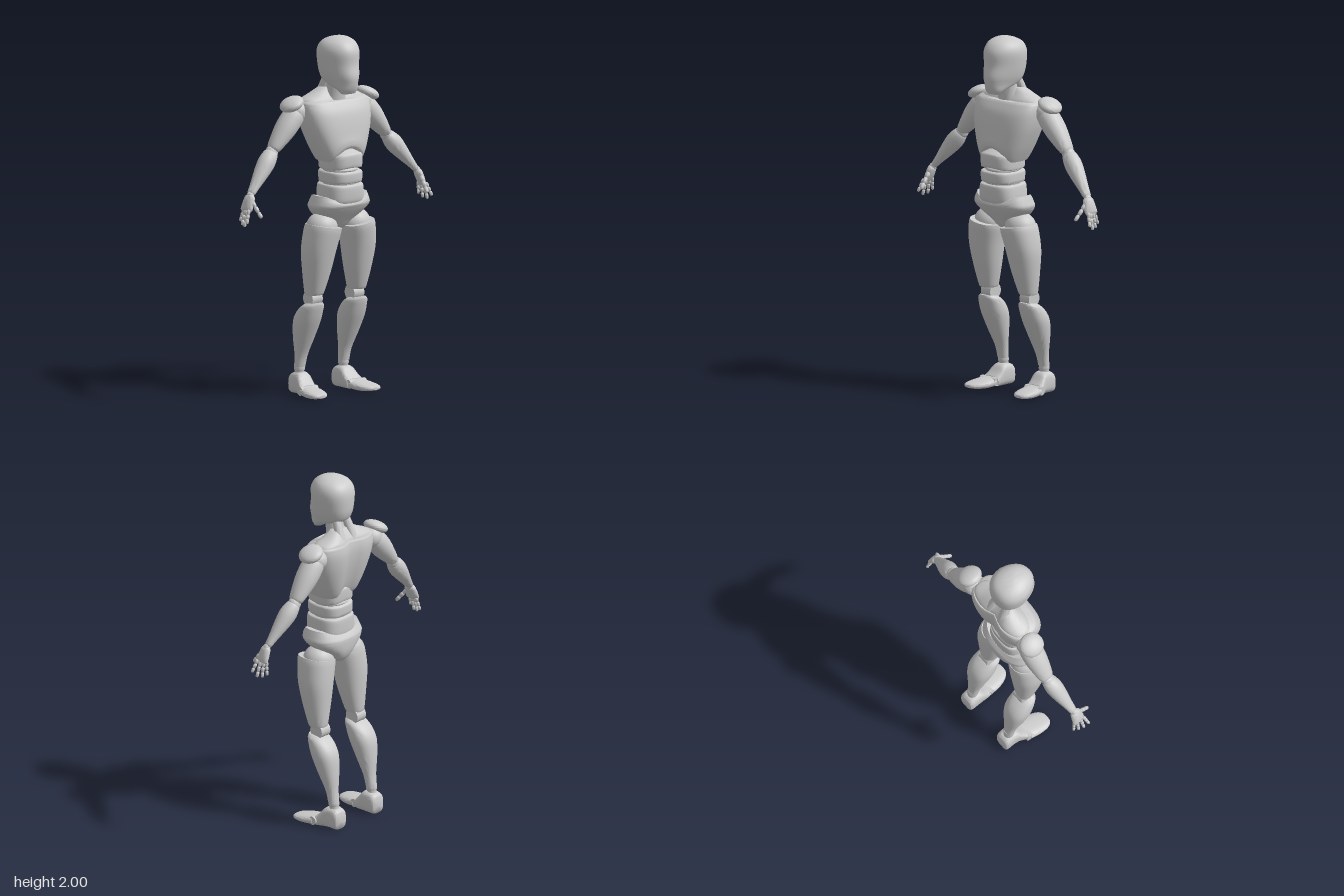
import * as THREE from 'three';
import { toCreasedNormals } from 'three/addons/utils/BufferGeometryUtils.js';

const material = new THREE.MeshStandardMaterial({ color: 0xcccccc });
const V = (x, y, z) => new THREE.Vector3(x, y, z);

// Catmull-Rom blend of one value
function spline(p0, p1, p2, p3, t) {
  return 0.5 * (2 * p1 + (p2 - p0) * t + (2 * p0 - 5 * p1 + 4 * p2 - p3) * t * t
    + (3 * p1 - p0 - 3 * p2 + p3) * t * t * t);
}

// Closed skin over sections [y, xMin, xMax, zMin, zMax]; n is the squareness of the rings
function loft(sections, n = 2.3, warp = null, seg = 32, sub = 4) {
  const s = [...sections].sort((a, b) => a[0] - b[0]);
  const rings = [];
  for (let i = 0; i < s.length - 1; i++) {
    for (let k = 0; k < sub; k++) {
      rings.push(s[i].map((v, c) => spline(s[Math.max(i - 1, 0)][c], v, s[i + 1][c],
        s[Math.min(i + 2, s.length - 1)][c], k / sub)));
    }
  }
  rings.push(s[s.length - 1]);
  const pos = [], index = [];
  const put = (x, y, z) => {
    const v = V(x, y, z);
    if (warp) warp(v);
    pos.push(v.x, v.y, v.z);
  };
  const bend = (c) => Math.sign(c) * Math.pow(Math.abs(c), 2 / n);
  for (const [y, x0, x1, z0, z1] of rings) {
    for (let i = 0; i < seg; i++) {
      const a = (i / seg) * Math.PI * 2;
      put((x0 + x1) / 2 + bend(Math.cos(a)) * (x1 - x0) / 2, y,
        (z0 + z1) / 2 + bend(Math.sin(a)) * (z1 - z0) / 2);
    }
  }
  const last = rings.length - 1, base = rings.length * seg;
  for (const r of [rings[0], rings[last]]) put((r[1] + r[2]) / 2, r[0], (r[3] + r[4]) / 2);
  for (let i = 0; i < seg; i++) {
    const j = (i + 1) % seg;
    for (let r = 0; r < last; r++) {
      const a = r * seg, b = a + seg;
      index.push(a + i, b + i, a + j, b + i, b + j, a + j);
    }
    index.push(base, i, j, base + 1, last * seg + j, last * seg + i);
  }
  const g = new THREE.BufferGeometry();
  g.setAttribute('position', new THREE.Float32BufferAttribute(pos, 3));
  g.setIndex(index);
  return g;
}

// Symmetric section from half width and depth range
const sym = (list) => list.map(([y, w, z0, z1]) => [y, -w, w, z0, z1]);

// Tapered limb from a to b with profile [fraction, radius, depth radius]
function limb(a, b, profile, seg = 24) {
  const d = b.clone().sub(a), len = d.length();
  const g = loft(profile.map(([t, r, q = r]) => [t * len, -r, r, -q, q]), 2, null, seg, 3);
  g.applyQuaternion(new THREE.Quaternion().setFromUnitVectors(V(0, 1, 0), d.normalize()));
  return g.translate(a.x, a.y, a.z);
}

const ball = (x, y, z, rx, ry = rx, rz = rx, tilt = 0) =>
  new THREE.SphereGeometry(1, 28, 18).scale(rx, ry, rz).rotateZ(tilt).translate(x, y, z);

function add(group, name, geometry, mirrored = false) {
  const g = geometry.clone();
  if (mirrored) {
    g.scale(-1, 1, 1);
    g.setIndex(Array.from(g.index.array).reverse());
  }
  const mesh = new THREE.Mesh(toCreasedNormals(g, 0.75), material);
  mesh.name = name;
  group.add(mesh);
}

export function createModel() {
  const model = new THREE.Group();
  model.name = 'jointedFigure';

  // Head and neck; the face narrows to a soft centre ridge
  add(model, 'head', loft(sym([
    [1.69, 0.05, 0.1, 0.15], [1.715, 0.068, 0.06, 0.165], [1.75, 0.083, -0.045, 0.176],
    [1.79, 0.096, -0.075, 0.18], [1.85, 0.106, -0.084, 0.168], [1.92, 0.111, -0.083, 0.166],
    [1.965, 0.092, -0.06, 0.14], [1.99, 0.055, -0.015, 0.1], [2, 0.015, 0.03, 0.06],
  ]), 2.3, (v) => { if (v.z > 0.04) v.x *= 1 - 1.6 * (v.z - 0.04); }));
  add(model, 'neck', loft(sym([[1.6, 0.07, -0.07, 0.06], [1.68, 0.056, -0.04, 0.065],
    [1.78, 0.056, -0.02, 0.075]]), 2));

  // Chest with an arched lower edge and a spine groove
  const groove = (v) => { if (v.z < -0.02) v.z += 0.03 * Math.exp(-((v.x / 0.05) ** 2)); };
  add(model, 'chest', loft(sym([
    [1.315, 0.122, -0.06, 0.142], [1.34, 0.135, -0.075, 0.15], [1.4, 0.163, -0.095, 0.15],
    [1.5, 0.2, -0.118, 0.137], [1.58, 0.215, -0.128, 0.118], [1.63, 0.212, -0.124, 0.092],
    [1.645, 0.2, -0.118, 0.08],
  ]), 3, (v) => {
    groove(v);
    const k = Math.min(Math.max((1.45 - v.y) / 0.13, 0), 1);
    if (v.z > 0) v.y += 0.07 * k * Math.max(0, 1 - (v.x / 0.11) ** 2);
  }, 48));
  add(model, 'upperBack', loft(sym([[1.62, 0.2, -0.12, 0.06], [1.65, 0.195, -0.112, 0.045],
    [1.68, 0.13, -0.095, 0.025], [1.71, 0.075, -0.075, 0.01]]), 2.6, groove));

  // Waist: inner core with stacked plates
  add(model, 'waistCore', loft(sym([[1.08, 0.09, -0.04, 0.13], [1.25, 0.082, -0.03, 0.135],
    [1.36, 0.08, -0.03, 0.12]])));
  const bow = (v) => { v.y += 0.012 * (1 - (v.x / 0.1) ** 2); };
  add(model, 'upperWaistPlate', loft(sym([[1.265, 0.1, -0.05, 0.153], [1.275, 0.105, -0.056, 0.163],
    [1.335, 0.106, -0.058, 0.165], [1.35, 0.1, -0.05, 0.15], [1.37, 0.07, -0.03, 0.11]]), 3, bow));
  add(model, 'middleWaistPlate', loft(sym([[1.19, 0.1, -0.05, 0.15], [1.198, 0.105, -0.056, 0.162],
    [1.245, 0.106, -0.058, 0.165], [1.255, 0.1, -0.052, 0.155]]), 3));
  add(model, 'lowerWaistPlate', loft(sym([[1.07, 0.11, -0.055, 0.15], [1.1, 0.12, -0.06, 0.162],
    [1.17, 0.114, -0.06, 0.165], [1.183, 0.106, -0.052, 0.155]]), 3));
  for (const y of [1.262, 1.187]) add(model, 'waistJoint', ball(0, y, 0.052, 0.098, 0.025, 0.098));

  // Pelvis with raised hips, tapering to the crotch
  add(model, 'pelvis', loft(sym([
    [0.92, 0.03, -0.035, 0.045], [0.945, 0.06, -0.06, 0.075], [0.98, 0.095, -0.075, 0.1],
    [1.02, 0.15, -0.08, 0.13], [1.06, 0.18, -0.08, 0.155], [1.09, 0.174, -0.072, 0.16],
    [1.125, 0.16, -0.06, 0.15],
  ]), 2.6, (v) => {
    if (v.y > 1.06) v.y -= (v.y - 1.06) * 0.55 * Math.max(0, 1 - (v.x / 0.15) ** 2);
  }));

  for (const side of ['left', 'right']) {
    const flip = side === 'right';
    const leg = new THREE.Group(), arm = new THREE.Group(), hand = new THREE.Group();
    leg.name = side + 'Leg';
    arm.name = side + 'Arm';
    hand.name = side + 'Hand';
    arm.add(hand);
    model.add(leg, arm);

    // Neck strap
    add(model, side + 'NeckStrap', limb(V(0.052, 1.62, -0.085), V(0.036, 1.77, -0.02),
      [[0, 0.034, 0.025], [0.5, 0.026, 0.025], [1, 0.022]]), flip);

    // Leg
    add(leg, 'hipJoint', ball(0.115, 0.945, 0.035, 0.088, 0.082, 0.085), flip);
    add(leg, 'thigh', loft([
      [0.57, 0.102, 0.194, -0.04, 0.055], [0.585, 0.096, 0.199, -0.045, 0.065],
      [0.7, 0.067, 0.218, -0.052, 0.1], [0.82, 0.044, 0.23, -0.058, 0.13],
      [0.92, 0.025, 0.217, -0.056, 0.15], [0.955, 0.022, 0.205, -0.052, 0.152],
    ], 2.3, (v) => { if (v.y > 0.85) v.y += (v.y - 0.85) * 1.6 * (v.x - 0.12); }), flip);
    add(leg, 'kneeJoint', new THREE.CylinderGeometry(0.043, 0.043, 0.07, 28)
      .rotateZ(Math.PI / 2).translate(0.145, 0.545, -0.004), flip);
    add(leg, 'kneeLink', loft([[0.49, 0.12, 0.17, -0.035, 0.02], [0.6, 0.12, 0.17, -0.03, 0.025]]), flip);
    add(leg, 'shin', loft([
      [0.15, 0.122, 0.184, -0.138, -0.083], [0.22, 0.115, 0.19, -0.13, -0.065],
      [0.32, 0.095, 0.213, -0.128, -0.018], [0.41, 0.081, 0.227, -0.119, 0.024],
      [0.47, 0.082, 0.223, -0.09, 0.046], [0.505, 0.088, 0.213, -0.055, 0.056],
      [0.52, 0.105, 0.195, -0.03, 0.055],
    ], 2.3, (v) => { if (v.y > 0.45) v.y += (v.y - 0.45) * 1.5 * v.z; }), flip);
    add(leg, 'ankleJoint', limb(V(0.153, 0.17, -0.111), V(0.153, 0.09, -0.115),
      [[0, 0.027], [0.45, 0.03], [0.55, 0.026], [1, 0.032]]), flip);
    // Feet are skinned along z: the depth columns are the negated heights
    add(leg, 'heel', loft([
      [-0.165, 0.115, 0.188, -0.085, -0.008], [-0.153, 0.105, 0.197, -0.11, 0],
      [-0.11, 0.103, 0.198, -0.122, 0], [-0.075, 0.103, 0.203, -0.115, 0],
      [-0.045, 0.104, 0.214, -0.08, 0], [-0.022, 0.106, 0.225, -0.058, -0.003],
    ], 3.2).rotateX(Math.PI / 2), flip);
    add(leg, 'toeJoint', new THREE.CylinderGeometry(0.024, 0.024, 0.115, 20)
      .rotateZ(Math.PI / 2).translate(0.168, 0.032, -0.018), flip);
    add(leg, 'toes', loft([
      [-0.014, 0.107, 0.231, -0.054, -0.003], [0.04, 0.11, 0.24, -0.048, 0],
      [0.09, 0.124, 0.24, -0.04, -0.003], [0.12, 0.145, 0.228, -0.033, -0.008],
      [0.132, 0.165, 0.21, -0.027, -0.013],
    ], 2.6).rotateX(Math.PI / 2), flip);

    // Arm
    add(arm, 'shoulderJoint', ball(0.225, 1.59, -0.045, 0.062), flip);
    add(arm, 'shoulderPad', ball(0.263, 1.636, -0.042, 0.068, 0.034, 0.07, -0.45), flip);
    add(arm, 'upperArm', limb(V(0.222, 1.6, -0.045), V(0.395, 1.395, -0.045), [
      [0, 0.045, 0.05], [0.15, 0.06, 0.063], [0.45, 0.06, 0.064], [0.75, 0.047, 0.053],
      [0.95, 0.034, 0.043], [1, 0.027, 0.035]]), flip);
    add(arm, 'elbowJoint', ball(0.4, 1.385, -0.045, 0.036), flip);
    add(arm, 'forearm', limb(V(0.4, 1.385, -0.045), V(0.575, 1.178, -0.008), [
      [0, 0.03, 0.034], [0.06, 0.04, 0.042], [0.25, 0.049, 0.049], [0.5, 0.041, 0.043],
      [0.8, 0.026, 0.03], [0.97, 0.019, 0.024], [1, 0.015, 0.02]]), flip);
    add(arm, 'wristJoint', ball(0.58, 1.172, -0.005, 0.02), flip);

    // Hand: palm, four fingers and a forward thumb, all in short links
    add(hand, 'palm', limb(V(0.58, 1.175, -0.003), V(0.614, 1.09, 0), [
      [0, 0.015, 0.02], [0.15, 0.021, 0.032], [0.55, 0.021, 0.038], [0.9, 0.016, 0.041],
      [1, 0.011, 0.036]]), flip);
    const digit = (name, a, b, r) => {
      for (let k = 0; k < 3; k++) {
        add(hand, name, limb(a.clone().lerp(b, k / 3), a.clone().lerp(b, (k + 1) / 3),
          [[0, r * 0.6], [0.2, r], [0.8, r * 0.92], [1, r * 0.55]], 12), flip);
        r *= 0.93;
      }
    };
    digit('indexFinger', V(0.617, 1.1, 0.029), V(0.645, 1.028, 0.046), 0.0105);
    digit('middleFinger', V(0.615, 1.095, 0.01), V(0.638, 1.006, 0.016), 0.0105);
    digit('ringFinger', V(0.612, 1.095, -0.01), V(0.63, 1.01, -0.016), 0.0105);
    digit('littleFinger', V(0.608, 1.1, -0.028), V(0.621, 1.028, -0.044), 0.0095);
    digit('thumb', V(0.588, 1.142, 0.02), V(0.578, 1.06, 0.092), 0.0125);
  }
  return model;
}
